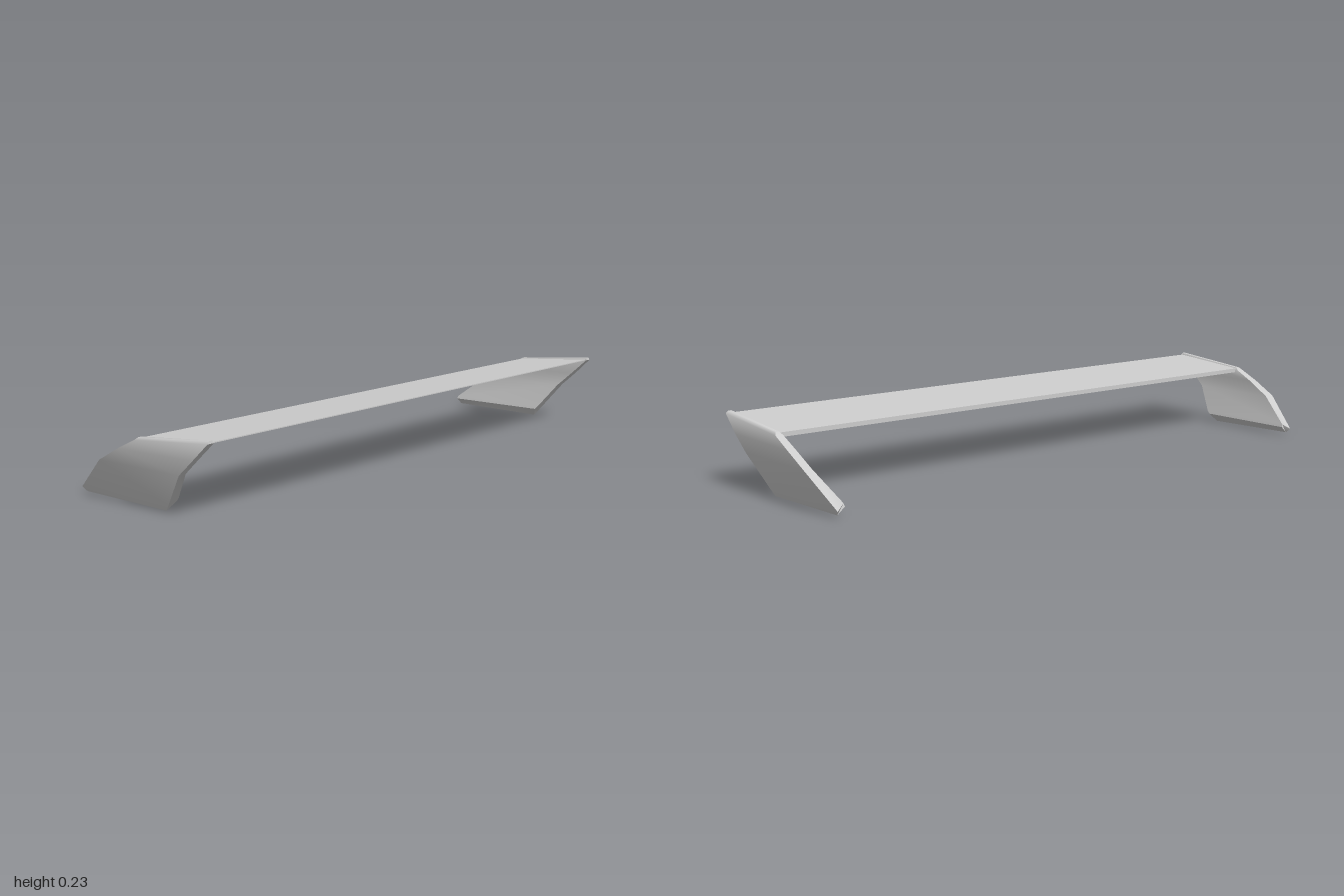
import * as THREE from 'three';
import { toCreasedNormals } from 'three/addons/utils/BufferGeometryUtils.js';

// Sections of an end plate from bottom to top.
// Each holds outer front, outer back, inner back, inner front as [x, y, z].
const SECTIONS = [
  [[0.957, 0.002, 0.072], [0.957, 0.008, -0.268], [0.932, 0.03, -0.27], [0.932, 0.03, 0.09]],
  [[0.964, 0.022, 0.088], [0.964, 0.022, -0.282], [0.935, 0.04, -0.268], [0.935, 0.04, 0.1]],
  [[0.998, 0.125, 0.168], [0.998, 0.125, -0.163], [0.968, 0.125, -0.158], [0.968, 0.125, 0.165]],
  [[1.0, 0.175, 0.225], [1.0, 0.17, -0.08], [0.972, 0.17, -0.078], [0.972, 0.175, 0.222]],
  [[0.998, 0.229, 0.283], [0.998, 0.203, -0.012], [0.973, 0.203, -0.012], [0.973, 0.229, 0.283]],
  [[0.991, 0.237, 0.282], [0.991, 0.212, 0], [0.979, 0.212, 0], [0.979, 0.237, 0.282]],
];

function endPlateGeometry(side) {
  const positions = [];
  const triangle = (a, b, c) => {
    for (const p of side > 0 ? [a, b, c] : [a, c, b]) positions.push(p[0] * side, p[1], p[2]);
  };
  const quad = (a, b, c, d) => {
    triangle(a, b, c);
    triangle(a, c, d);
  };
  for (let i = 0; i < SECTIONS.length - 1; i++) {
    const low = SECTIONS[i];
    const high = SECTIONS[i + 1];
    for (let j = 0; j < 4; j++) {
      const k = (j + 1) % 4;
      quad(low[j], low[k], high[k], high[j]);
    }
  }
  // Close the top and bottom edges
  quad(...SECTIONS[SECTIONS.length - 1]);
  quad(...[...SECTIONS[0]].reverse());
  const geometry = new THREE.BufferGeometry();
  geometry.setAttribute('position', new THREE.Float32BufferAttribute(positions, 3));
  return toCreasedNormals(geometry, 0.9);
}

// Wedge blade: thin leading edge, blunt trailing edge
function bladeGeometry() {
  const profile = new THREE.Shape();
  profile.moveTo(0, 0.195);
  profile.lineTo(0.278, 0.228);
  profile.lineTo(0.278, 0.231);
  profile.lineTo(0, 0.209);
  profile.closePath();
  const span = 1.956;
  const geometry = new THREE.ExtrudeGeometry(profile, { depth: span, bevelEnabled: false });
  geometry.translate(0, 0, -span / 2);
  geometry.rotateY(-Math.PI / 2);
  return geometry;
}

export function createModel() {
  const group = new THREE.Group();
  group.name = 'rearWing';
  const paint = new THREE.MeshStandardMaterial({ color: 0xcccccc });
  paint.name = 'light grey';

  const blade = new THREE.Mesh(bladeGeometry(), paint);
  blade.name = 'wingBlade';
  group.add(blade);

  for (const side of [1, -1]) {
    const plate = new THREE.Mesh(endPlateGeometry(side), paint);
    plate.name = side > 0 ? 'leftEndPlate' : 'rightEndPlate';
    group.add(plate);
  }
  return group;
}
